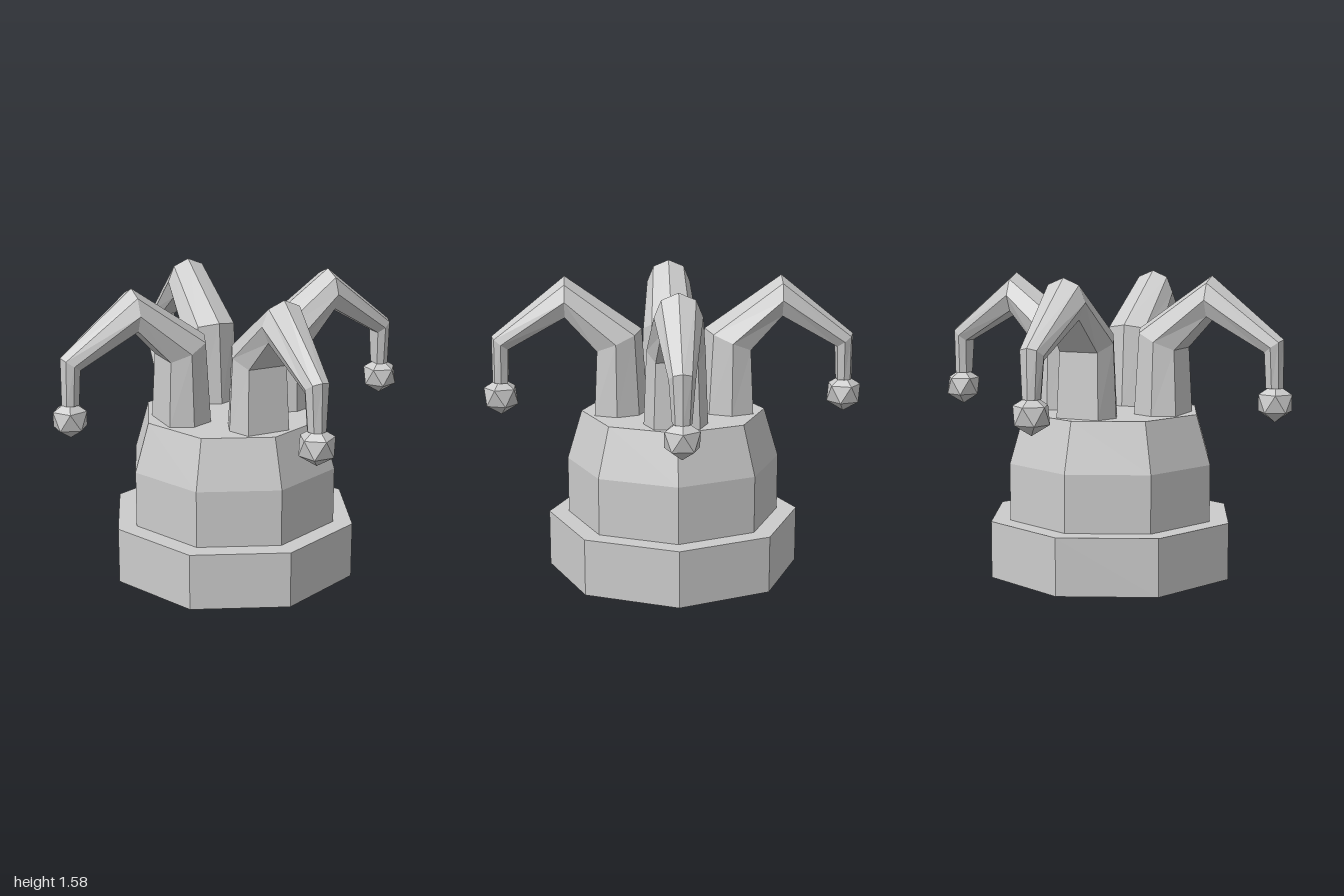
import * as THREE from 'three';

const material = new THREE.MeshStandardMaterial({ color: 0xcccccc, flatShading: true, side: THREE.DoubleSide });

// Seven-sided section: an octagon whose underside corner is left out
const SIDES = 7;
const ANGLES = [-3, -2, -1, 0, 1, 2, 3].map((k) => (k * Math.PI) / 4);

// Horn sections: centre x, centre y, radius, direction of the upper ridge (x, y)
const SECTIONS = [
  [0.30, 0.86, 0.165, -1, 0],
  [0.303, 1.241, 0.15, -0.92, 0.39],
  [0.565, 1.46, 0.12, 0, 1],
  [0.9, 1.228, 0.064, 0.81, 0.586],
  [0.905, 1.02, 0.048, 1, 0],
];

function hornGeometry() {
  const positions = [];
  const index = [];
  for (const [x, y, r, nx, ny] of SECTIONS) {
    for (const a of ANGLES) {
      const c = r * Math.cos(a);
      positions.push(x + nx * c, y + ny * c, r * Math.sin(a));
    }
  }
  for (let i = 0; i < SECTIONS.length - 1; i++) {
    for (let j = 0; j < SIDES; j++) {
      const a = i * SIDES + j;
      const b = i * SIDES + ((j + 1) % SIDES);
      index.push(a, b, b + SIDES, a, b + SIDES, a + SIDES);
    }
  }
  // Closed lower end
  const end = (SECTIONS.length - 1) * SIDES;
  for (let j = 1; j < SIDES - 1; j++) index.push(end, end + j, end + j + 1);

  const indexed = new THREE.BufferGeometry();
  indexed.setAttribute('position', new THREE.Float32BufferAttribute(positions, 3));
  indexed.setIndex(index);
  const geometry = indexed.toNonIndexed();
  geometry.computeVertexNormals();
  return geometry;
}

function addMesh(parent, name, geometry) {
  const mesh = new THREE.Mesh(geometry, material);
  mesh.name = name;
  parent.add(mesh);
  return mesh;
}

function lathe(points) {
  return new THREE.LatheGeometry(points.map(([r, y]) => new THREE.Vector2(r, y)), 8);
}

export function createModel() {
  const hat = new THREE.Group();
  hat.name = 'jesterHat';

  // Eight-sided shell, open underneath
  addMesh(hat, 'brim', lathe([[0.67, 0], [0.67, 0.3], [0.565, 0.3]]));
  addMesh(hat, 'crown', lathe([[0.565, 0.3], [0.565, 0.6], [0.487, 0.86], [0, 0.86]]));

  // Bell standing on a corner, with an upper corner pointing outward
  const horn = hornGeometry();
  const bell = new THREE.IcosahedronGeometry(0.1, 0);
  bell.rotateZ(-Math.atan(2 / (1 + Math.sqrt(5))));
  bell.translate(0.9106, 0.945, 0);

  // Four drooping horns, each ending in a bell
  ['left', 'back', 'right', 'front'].forEach((side, i) => {
    const arm = new THREE.Group();
    arm.name = side + 'Horn';
    arm.rotation.y = (i * Math.PI) / 2;
    addMesh(arm, side + 'HornCloth', horn);
    addMesh(arm, side + 'Bell', bell);
    hat.add(arm);
  });
  return hat;
}
